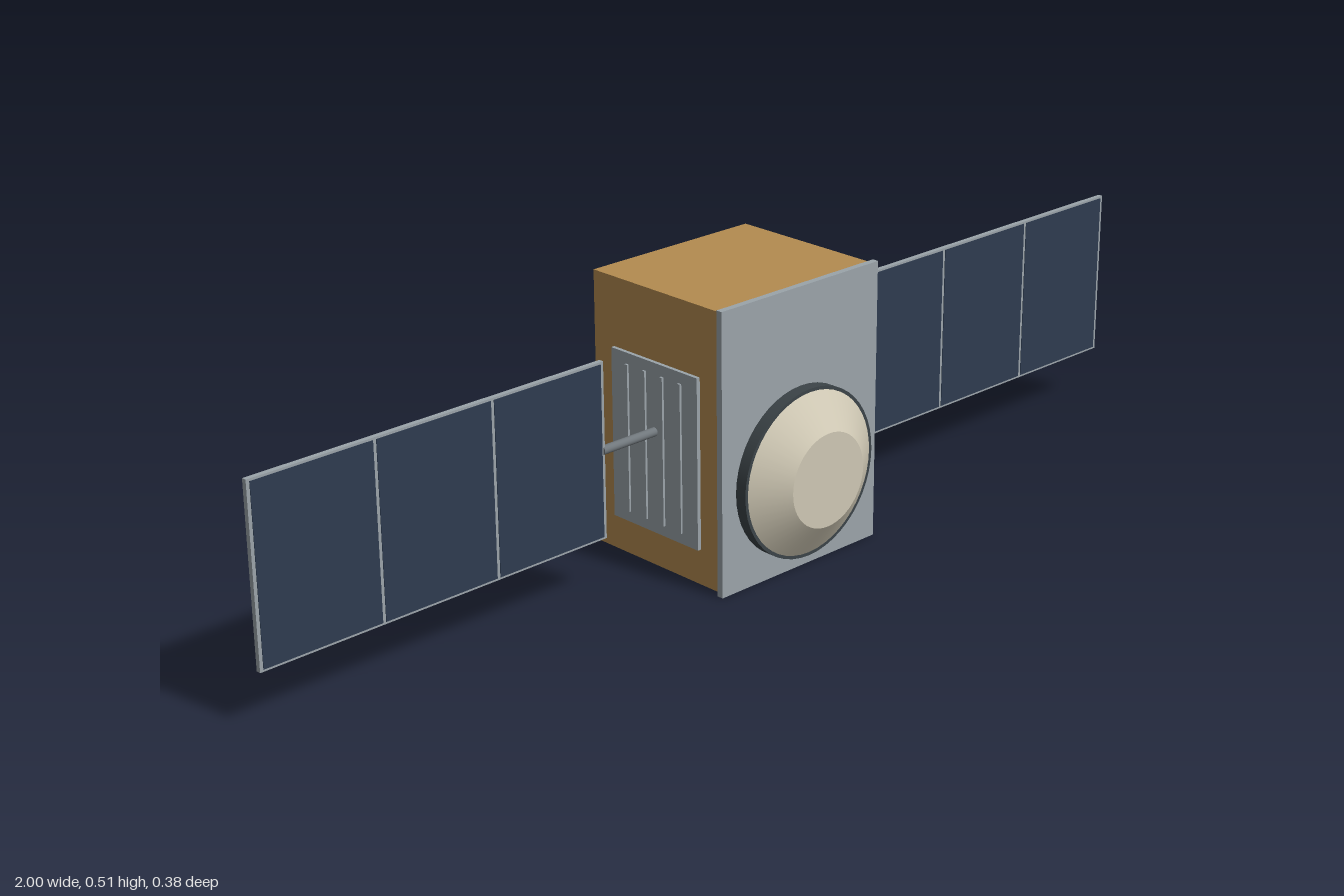
import * as THREE from 'three';

const mat = (name, color) => {
  const m = new THREE.MeshStandardMaterial({ color });
  m.name = name;
  return m;
};

export function createModel() {
  const gold = mat('gold foil', 0xb48c50);
  const grey = mat('light grey metal', 0x9ba4aa);
  const steel = mat('steel', 0x70777c);
  const navy = mat('solar cell navy', 0x2e3c50);
  const cream = mat('dish cream', 0xcfc8b4);
  const dark = mat('dark rim', 0x3c4448);

  const model = new THREE.Group();
  model.name = 'satellite';

  const add = (parent, name, geometry, material) => {
    const mesh = new THREE.Mesh(geometry, material);
    mesh.name = name;
    parent.add(mesh);
    return mesh;
  };
  // box given by its minimum and maximum corners
  const box = (parent, name, material, [x0, y0, z0], [x1, y1, z1]) => {
    const mesh = add(parent, name, new THREE.BoxGeometry(x1 - x0, y1 - y0, z1 - z0), material);
    mesh.position.set((x0 + x1) / 2, (y0 + y1) / 2, (z0 + z1) / 2);
    return mesh;
  };

  // foil-wrapped body and front plate
  box(model, 'body', gold, [-0.18, 0.005, -0.19], [0.18, 0.505, 0.113]);
  box(model, 'frontPlate', grey, [-0.185, 0, 0.113], [0.185, 0.509, 0.125]);

  // dish: dark mounting ring, tapered reflector with a flat cap
  const dish = new THREE.Group();
  dish.name = 'dish';
  dish.position.set(0, 0.18, 0.125);
  model.add(dish);
  const ring = add(dish, 'dishRing', new THREE.CylinderGeometry(0.153, 0.153, 0.022, 48), dark);
  ring.rotation.x = Math.PI / 2;
  ring.position.z = 0.011;
  const cone = add(dish, 'dishReflector', new THREE.CylinderGeometry(0.085, 0.147, 0.044, 48), cream);
  cone.rotation.x = Math.PI / 2;
  cone.position.z = 0.044;

  // one side is built towards +x and turned for the other
  const wingZ = -0.036;
  for (const s of [1, -1]) {
    const side = new THREE.Group();
    side.name = s > 0 ? 'leftSide' : 'rightSide';
    model.add(side);
    const sideBox = (name, material, [x0, y0, z0], [x1, y1, z1]) =>
      box(side, name, material, [Math.min(s * x0, s * x1), y0, z0], [Math.max(s * x0, s * x1), y1, z1]);

    // radiator with raised ribs
    sideBox('radiator', grey, [0.18, 0.07, -0.141], [0.187, 0.38, 0.068]);
    for (const z of [0.028, -0.015, -0.058, -0.101]) {
      sideBox('radiatorRib', grey, [0.187, 0.09, z - 0.003], [0.191, 0.36, z + 0.003]);
    }

    // boom
    const boom = add(side, 'boom', new THREE.CylinderGeometry(0.008, 0.008, 0.125, 16), steel);
    boom.rotation.z = Math.PI / 2;
    boom.position.set(s * 0.2425, 0.256, wingZ);

    // solar panel with three cells on the front
    sideBox('solarPanel', grey, [0.302, 0.098, -0.041], [1, 0.414, -0.032]);
    for (let i = 0; i < 3; i++) {
      const x = 0.308 + i * 0.2307;
      sideBox('solarCell', navy, [x, 0.102, -0.032], [x + 0.2245, 0.41, -0.031]);
    }
  }
  return model;
}
